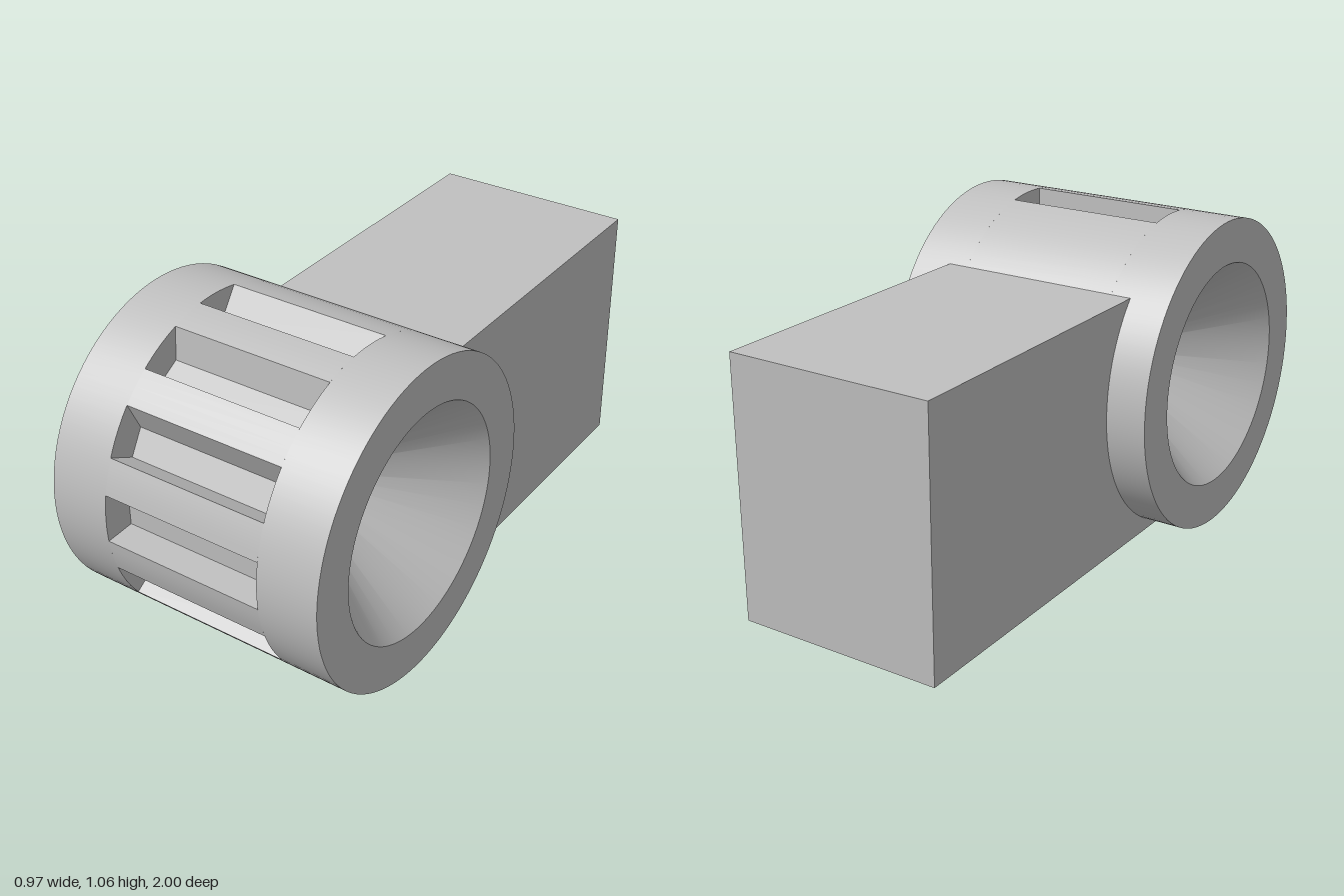
import * as THREE from 'three';
import { toCreasedNormals } from 'three/addons/utils/BufferGeometryUtils.js';

const RADIUS = 0.532, HALF = 0.483, SLOT = 0.277; // drum radius, half length, slot half length
const CY = 0.533, CZ = 0.468;                     // drum axis position
const RAD = Math.PI / 180;

// Extrude a (z, y) profile along x, centred on x = 0
function extrudeX(shape, width) {
  const geo = new THREE.ExtrudeGeometry(shape, { depth: width, bevelEnabled: false, curveSegments: 48 });
  geo.translate(0, 0, -width / 2);
  geo.rotateY(-Math.PI / 2);
  return toCreasedNormals(geo, 0.4);
}

// Middle of the drum: round profile with seven slanted notches around the front
function slottedProfile() {
  const pts = [];
  const rim = a => pts.push(new THREE.Vector2(Math.cos(a * RAD) * RADIUS, Math.sin(a * RAD) * RADIUS));
  const origin = new THREE.Vector2();
  for (let k = -3; k <= 3; k++) {
    const turn = k * 30;
    rim(turn - 5.8);
    for (const [z, y] of [[0.431, -0.05], [0.431, 0.043]]) {
      pts.push(new THREE.Vector2(z, y).rotateAround(origin, turn * RAD));
    }
    const from = turn + 11.5;
    const to = k < 3 ? turn + 24.2 : 264.2;
    const steps = Math.ceil((to - from) / 4);
    for (let i = 0; i < steps; i++) rim(from + (to - from) * i / steps);
  }
  const shape = new THREE.Shape(pts);
  shape.holes.push(new THREE.Path().absarc(0, 0, 0.3, 0, Math.PI * 2, true));
  return shape;
}

export function createModel() {
  const model = new THREE.Group();
  const grey = new THREE.MeshStandardMaterial({ color: 0xc0c0c0 });
  grey.name = 'plain grey';

  const drum = new THREE.Group();
  drum.name = 'drum';
  drum.position.set(0, CY, CZ);
  model.add(drum);

  const middle = new THREE.Mesh(extrudeX(slottedProfile(), SLOT * 2), grey);
  middle.name = 'slottedMiddle';
  drum.add(middle);

  // End collars, each with a conical recess that has a small flat bottom
  const profile = [[0.3, SLOT], [RADIUS, SLOT], [RADIUS, HALF], [0.383, HALF], [0.05, 0.05], [0, 0.05]]
    .map(([r, x]) => new THREE.Vector2(r, x));
  for (const side of [1, -1]) {
    const geo = new THREE.LatheGeometry(profile, 96);
    geo.rotateZ(-side * Math.PI / 2);
    const collar = new THREE.Mesh(toCreasedNormals(geo, 0.4), grey);
    collar.name = side > 0 ? 'leftCollar' : 'rightCollar';
    drum.add(collar);
  }

  // Slightly tilted block behind the drum, its front end buried in the drum wall
  const blockShape = new THREE.Shape([
    [-1, 0.036], [0.35, 0.022], [0.2, 0.15], [0.06, 0.35], [0.02, 0.6], [0.1, 0.887], [-0.998, 0.898],
  ].map(([z, y]) => new THREE.Vector2(z, y)));
  const block = new THREE.Mesh(extrudeX(blockShape, 0.694), grey);
  block.name = 'rearBlock';
  model.add(block);

  return model;
}
